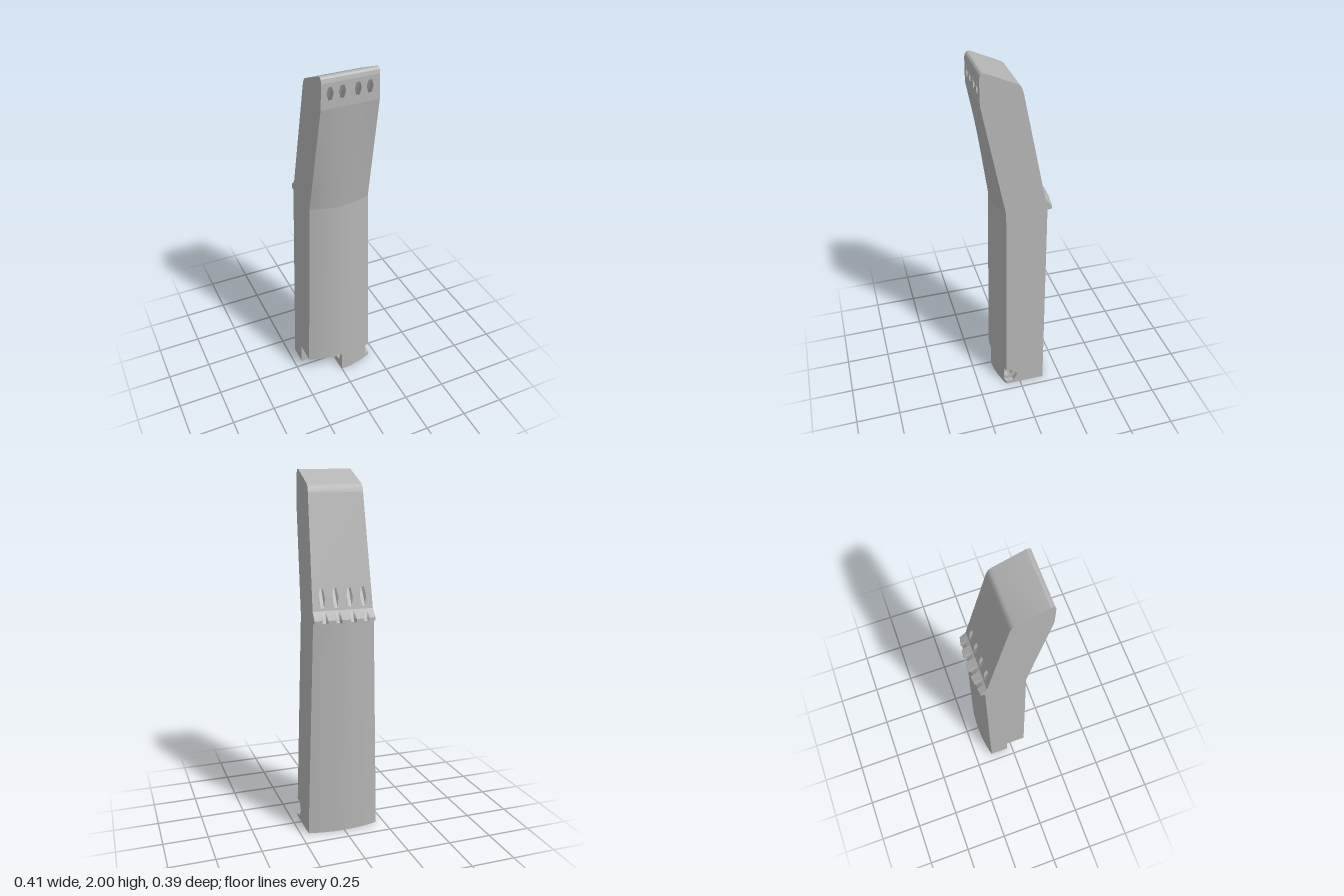
import * as THREE from 'three';
import { toCreasedNormals } from 'three/addons/utils/BufferGeometryUtils.js';

const N = 14;              // segments across the curved faces
const NOTCH_Y = 0.125;     // height of the foot block
const KINK_Y = 1.22;       // where the shaft meets the bent head

const halfW = y => 0.205 - 0.0275 * y;
const bow = (x, y, centre, corner) => corner + (centre - corner) * (1 - (x / halfW(y)) ** 2);
const shaftFront = (x, y) => bow(x, y, 0.131 - 0.0125 * y, 0.085 - 0.009 * y);
const shaftBack = (x, y) => bow(x, y, -0.172 - 0.002 * y, -0.145 - 0.006 * y);
const headBack = y => -0.14 + (y - 1.275) * (0.12 / 0.605);

// Row of points across the width at height y
const across = (y, zOf) => Array.from({ length: N + 1 }, (_, i) => {
  const x = halfW(y) * (2 * i / N - 1);
  return [x, y, zOf(x, y)];
});

// Surface through rows of points
function sheet(rows, closed = false) {
  const pos = [], idx = [], n = rows[0].length;
  rows.forEach(r => r.forEach(p => pos.push(...p)));
  for (let i = 0; i < rows.length - 1; i++) {
    for (let j = 0; j < (closed ? n : n - 1); j++) {
      const k = (j + 1) % n, a = i * n + j, b = i * n + k, c = b + n, d = a + n;
      idx.push(a, b, c, a, c, d);
    }
  }
  const g = new THREE.BufferGeometry();
  g.setAttribute('position', new THREE.Float32BufferAttribute(pos, 3));
  g.setIndex(idx);
  return g;
}

// Move every vertex by a rule
function remap(g, rule) {
  const p = g.attributes.position;
  for (let i = 0; i < p.count; i++) p.setXYZ(i, ...rule(p.getX(i), p.getY(i), p.getZ(i)));
  return g;
}

const shapeOf = pts => new THREE.Shape(pts.map(p => new THREE.Vector2(...p)));

// Flat side face from a [z, y] outline, following the taper
function sideWall(profile, s) {
  const g = new THREE.ShapeGeometry(shapeOf(profile.map(([z, y]) => [-s * z, y])));
  g.rotateY(s * Math.PI / 2);
  return remap(g, (x, y, z) => [s * halfW(y), y, z]);
}

export function createModel() {
  const group = new THREE.Group();
  const grey = new THREE.MeshStandardMaterial({ color: 0xb4b4b4, side: THREE.DoubleSide });
  grey.name = 'plain grey';
  const add = (name, g, crease = 0.4) => {
    const mesh = new THREE.Mesh(toCreasedNormals(g, crease), grey);
    mesh.name = name;
    group.add(mesh);
  };

  // Tapered shaft with bowed front and back
  const ring = y => [...across(y, shaftFront), ...across(y, shaftBack).reverse()];
  add('shaft', sheet([ring(NOTCH_Y), ring(0.67), ring(KINK_Y)], true));
  add('shaftUnderside', sheet([across(NOTCH_Y, shaftBack), across(NOTCH_Y, shaftFront)]));
  add('shaftTop', sheet([across(KINK_Y, shaftFront), across(KINK_Y, shaftBack)]));

  // Left half of the foot: slabs stacked along x, ends bent to the bowed faces
  const F = 0.13, B = -0.145;
  function footSlab(name, outline, hole, x0, x1, steps) {
    const shape = shapeOf(outline.map(([z, y]) => [-z, y]));
    if (hole) shape.holes.push(hole);
    const g = new THREE.ExtrudeGeometry(shape, { depth: x1 - x0, steps, bevelEnabled: false, curveSegments: 20 });
    g.rotateY(Math.PI / 2).translate(x0, 0, 0);
    remap(g, (x, y, z) => {
      const px = x > 0.204 ? halfW(y) : x;
      if (Math.abs(z - F) < 1e-4) z = shaftFront(px, y);
      else if (Math.abs(z - B) < 1e-4) z = shaftBack(px, y);
      return [px, y, z];
    });
    add(name, g);
  }
  const pin = new THREE.Path().absarc(-0.069, 0.065, 0.025, 0, Math.PI * 2);
  footSlab('footWithPinHole', [[B, 0], [F, 0], [F, NOTCH_Y], [B, NOTCH_Y]], pin, 0, 0.178, 8);
  // Outer slab with the hexagonal nut pocket opening to the front
  footSlab('footNutPocket', [[B, 0], [F, 0], [F, 0.02], [0.043, 0.02], [0.017, 0.065],
    [0.043, 0.11], [F, 0.11], [F, NOTCH_Y], [B, NOTCH_Y]], null, 0.178, 0.205, 2);

  // Right half of the foot: cut back, with a half-round bore beside the centre
  const wall = -0.035, r = 0.0325;
  const foot = [[0, -wall]];
  for (let i = 1; i <= 12; i++) {
    const a = Math.PI * i / 12;
    foot.push([-r + r * Math.cos(a), -wall + r * Math.sin(a)]);
  }
  foot.push([-0.205, -wall]);
  for (let i = 0; i <= 8; i++) {
    const x = -0.205 * (1 - i / 8);
    foot.push([x, -shaftBack(x, 0)]);
  }
  const cutFoot = new THREE.ExtrudeGeometry(shapeOf(foot), { depth: NOTCH_Y, bevelEnabled: false });
  cutFoot.rotateX(-Math.PI / 2);
  remap(cutFoot, (x, y, z) => [x < -0.204 ? -halfW(y) : x, y, z]);
  add('cutAwayFoot', cutFoot);

  // Head: bowed front that flattens toward the tip
  const headRows = [0, 0.25, 0.5, 0.75, 1].map(t => across(KINK_Y + 0.62 * t,
    (x, y) => bow(x, y, 0.116 + 0.079 * t, 0.074 + 0.121 * t)));
  add('headFront', sheet(headRows));

  // Rounded tip and upper back
  const tip = [[0.195, 1.97], [0.19, 1.99], [0.182, 1.998], [0.168, 1.999],
    [0.005, 1.926], [-0.006, 1.916], [-0.014, 1.902], [-0.02, 1.88]];
  const span = ([z, y]) => [[-halfW(y), y, z], [halfW(y), y, z]];
  add('headTip', sheet(tip.map(span)));
  add('headBack', sheet([[-0.02, 1.88], [headBack(1.41), 1.41]].map(span)));

  const headSide = [[0.074, KINK_Y], [0.195, 1.84], ...tip, [-0.14, 1.275], [-0.149, KINK_Y]];
  for (const s of [1, -1]) add(s > 0 ? 'headLeftSide' : 'headRightSide', sideWall(headSide, s));

  // Four slanted hexagonal tunnels from the front of the tip to the back
  const frontX = [-0.106, -0.043, 0.038, 0.1], backX = [-0.117, -0.041, 0.04, 0.115];
  const hex = (cx, cy, ry) => Array.from({ length: 6 }, (_, i) => {
    const a = Math.PI * i / 3;
    return [cx + 0.018 * Math.cos(a), cy + ry * Math.sin(a) / Math.sin(Math.PI / 3)];
  });
  const frontHoles = frontX.map(x => hex(x, 1.917, 0.032));
  const backHoles = backX.map(x => hex(x, 1.34, 0.05));
  frontHoles.forEach((h, i) => add('tunnel' + (i + 1), sheet([
    h.map(([x, y]) => [x, y, 0.195]),
    backHoles[i].map(([x, y]) => [x, y, headBack(y)]),
  ], true)));

  // Pierced panels around the tunnel mouths
  function panel(y0, y1, holes, s) {
    const shape = shapeOf([[-halfW(y0), y0], [halfW(y0), y0], [halfW(y1), y1], [-halfW(y1), y1]]);
    holes.forEach(h => shape.holes.push(new THREE.Path(h.map(([x, y]) => new THREE.Vector2(s * x, y)))));
    const g = new THREE.ShapeGeometry(shape);
    if (s < 0) g.rotateY(Math.PI);
    return remap(g, (x, y) => [x, y, s > 0 ? 0.195 : headBack(y)]);
  }
  add('frontPanel', panel(1.84, 1.97, frontHoles, 1));
  add('backPanel', panel(1.275, 1.41, backHoles, -1));

  // Bowed ledge across the back, grooved in line with the tunnels
  const ledge = [[0, 1.275], [0.4, 1.257], [1, 1.232], [1, 1.214], [0, 1.211]];
  const w = halfW(KINK_Y), xs = [];
  for (let i = 0; i <= 10; i++) {
    const x = w * (i / 5 - 1);
    if (backX.every(c => Math.abs(x - c) > 0.02)) xs.push(x);
  }
  backX.forEach(c => xs.push(c - 0.017, c - 0.008, c + 0.008, c + 0.017));
  xs.sort((a, b) => a - b);
  const ledgeZ = (x, t) => -0.14 - t * (0.036 + 0.019 * (1 - (x / w) ** 2));
  const ledgeRows = ledge.map(([t, y]) => xs.map(x => {
    let z = ledgeZ(x, t);
    const groove = -0.127 - (1.34 - y) * 0.555 + 0.018;
    if (t > 0 && backX.some(c => Math.abs(x - c) < 0.01)) z = Math.max(z, groove);
    return [Math.abs(x) > w - 1e-6 ? Math.sign(x) * halfW(y) : x, y, z];
  }));
  add('backLedge', sheet(ledgeRows), 0.2);
  for (const s of [1, -1]) add('ledgeEnd', sideWall(ledge.map(([t, y]) => [ledgeZ(w, t), y]), s));

  return group;
}
